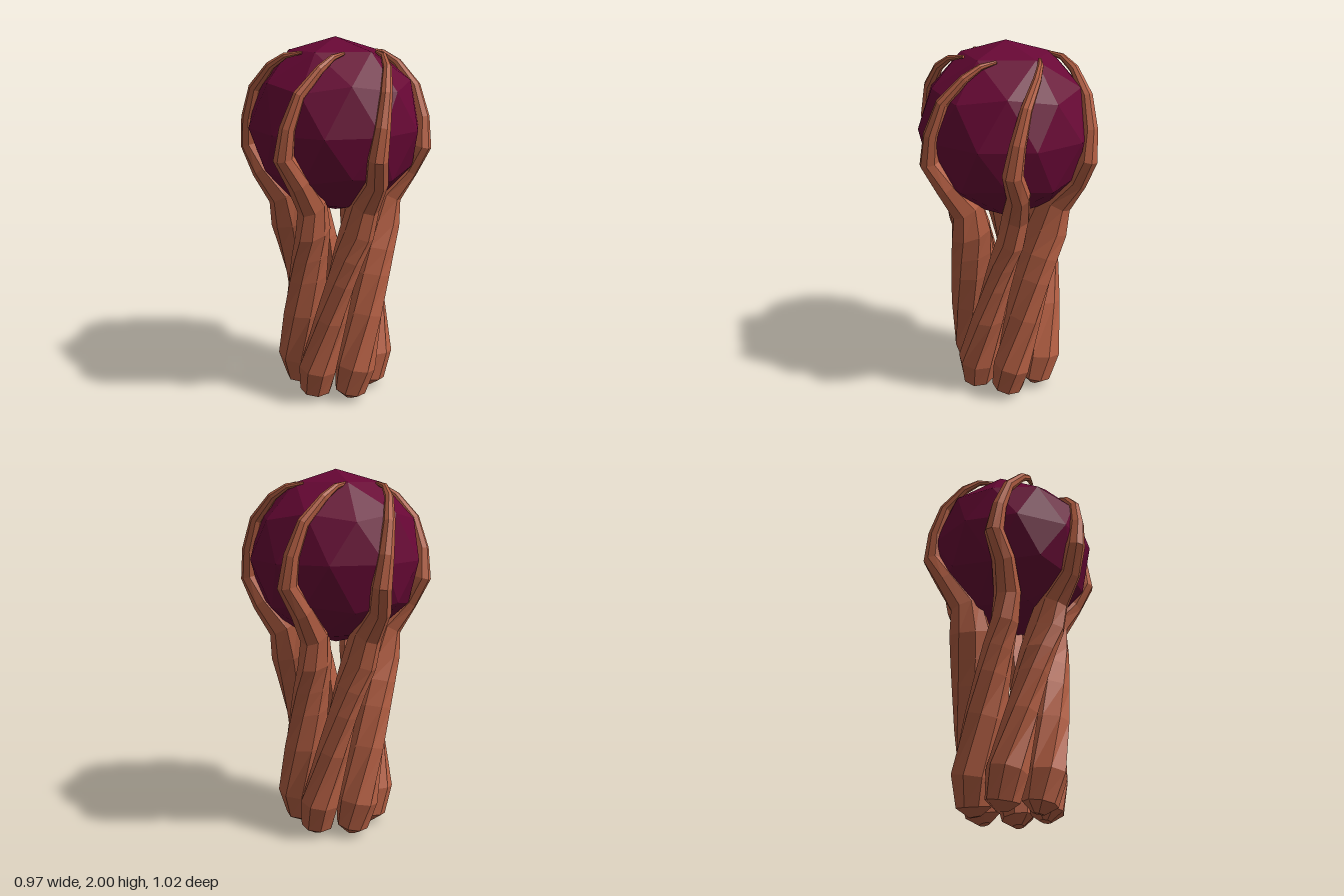
import * as THREE from 'three';

const bark = new THREE.MeshStandardMaterial({ color: 0xb45f43, flatShading: true });
bark.name = 'reddish brown';
const plum = new THREE.MeshStandardMaterial({ color: 0x680735, flatShading: true });
plum.name = 'deep plum';

const SIDES = 8;
const ORB_Y = 1.535;
const ORB_RADIUS = 0.467;

// One tendril from foot to tip:
// height, distance from axis, angle in degrees, half depth (outward), half width (sideways)
const PATH = [
  [0.01, 0.185, 143, 0.03, 0.03],
  [0.055, 0.195, 142, 0.092, 0.09],
  [0.2, 0.205, 135, 0.125, 0.108],
  [0.5, 0.19, 114, 0.125, 0.088],
  [0.72, 0.195, 98, 0.125, 0.078],
  [0.86, 0.21, 88, 0.125, 0.076],
  [1.0, 0.235, 78, 0.125, 0.076],
  [1.16, 0.275, 74, 0.1, 0.073],
  [1.3, 0.395, 76, 0.066, 0.061],
  [1.43, 0.466, 81, 0.054, 0.053],
  [1.58, 0.464, 78, 0.042, 0.041],
  [1.74, 0.426, 72, 0.034, 0.03],
  [1.86, 0.35, 60, 0.025, 0.022],
  [1.912, 0.29, 50, 0.017, 0.016],
  [1.928, 0.225, 37, 0.009, 0.009],
];

// Loft of oval rings that follow the path, closed at both ends
function tendrilGeometry() {
  const centres = PATH.map(([y, r, deg]) => {
    const a = THREE.MathUtils.degToRad(deg);
    return new THREE.Vector3(r * Math.cos(a), y, r * Math.sin(a));
  });
  const last = centres.length - 1;
  const positions = [];
  const index = [];

  centres.forEach((c, i) => {
    const [, , , depth, width] = PATH[i];
    const tangent = centres[Math.min(i + 1, last)].clone()
      .sub(centres[Math.max(i - 1, 0)]).normalize();
    // Outward direction: from the axis below, from the orb's centre above
    const out = c.clone().sub(new THREE.Vector3(0, Math.min(c.y, ORB_Y), 0));
    out.addScaledVector(tangent, -out.dot(tangent)).normalize();
    const side = new THREE.Vector3().crossVectors(tangent, out);
    for (let j = 0; j < SIDES; j++) {
      const a = (j / SIDES) * Math.PI * 2;
      const p = c.clone()
        .addScaledVector(out, depth * Math.cos(a))
        .addScaledVector(side, width * Math.sin(a));
      positions.push(p.x, Math.max(p.y, 0), p.z);
    }
  });

  for (let i = 0; i < last; i++) {
    for (let j = 0; j < SIDES; j++) {
      const k = (j + 1) % SIDES;
      const a = i * SIDES + j, b = i * SIDES + k;
      index.push(a, b, b + SIDES, a, b + SIDES, a + SIDES);
    }
  }
  const top = last * SIDES;
  for (let j = 1; j < SIDES - 1; j++) {
    index.push(0, j + 1, j);
    index.push(top, top + j, top + j + 1);
  }

  const geometry = new THREE.BufferGeometry();
  geometry.setAttribute('position', new THREE.Float32BufferAttribute(positions, 3));
  geometry.setIndex(index);
  geometry.computeVertexNormals();
  return geometry;
}

export function createModel() {
  const model = new THREE.Group();
  model.name = 'orbHeldByTendrils';

  // Faceted orb with one corner pointing straight up
  const orbGeometry = new THREE.IcosahedronGeometry(ORB_RADIUS, 1);
  orbGeometry.rotateZ(-Math.atan(2 / (1 + Math.sqrt(5))));
  const orb = new THREE.Mesh(orbGeometry, plum);
  orb.name = 'orb';
  orb.position.y = ORB_Y;
  model.add(orb);

  // Six twisting tendrils that form the stem and grip the orb
  const tendrils = new THREE.Group();
  tendrils.name = 'tendrils';
  const geometry = tendrilGeometry();
  for (let i = 0; i < 6; i++) {
    const tendril = new THREE.Mesh(geometry, bark);
    tendril.name = `tendril${i + 1}`;
    tendril.rotation.y = (i * Math.PI) / 3;
    tendrils.add(tendril);
  }
  model.add(tendrils);
  return model;
}
